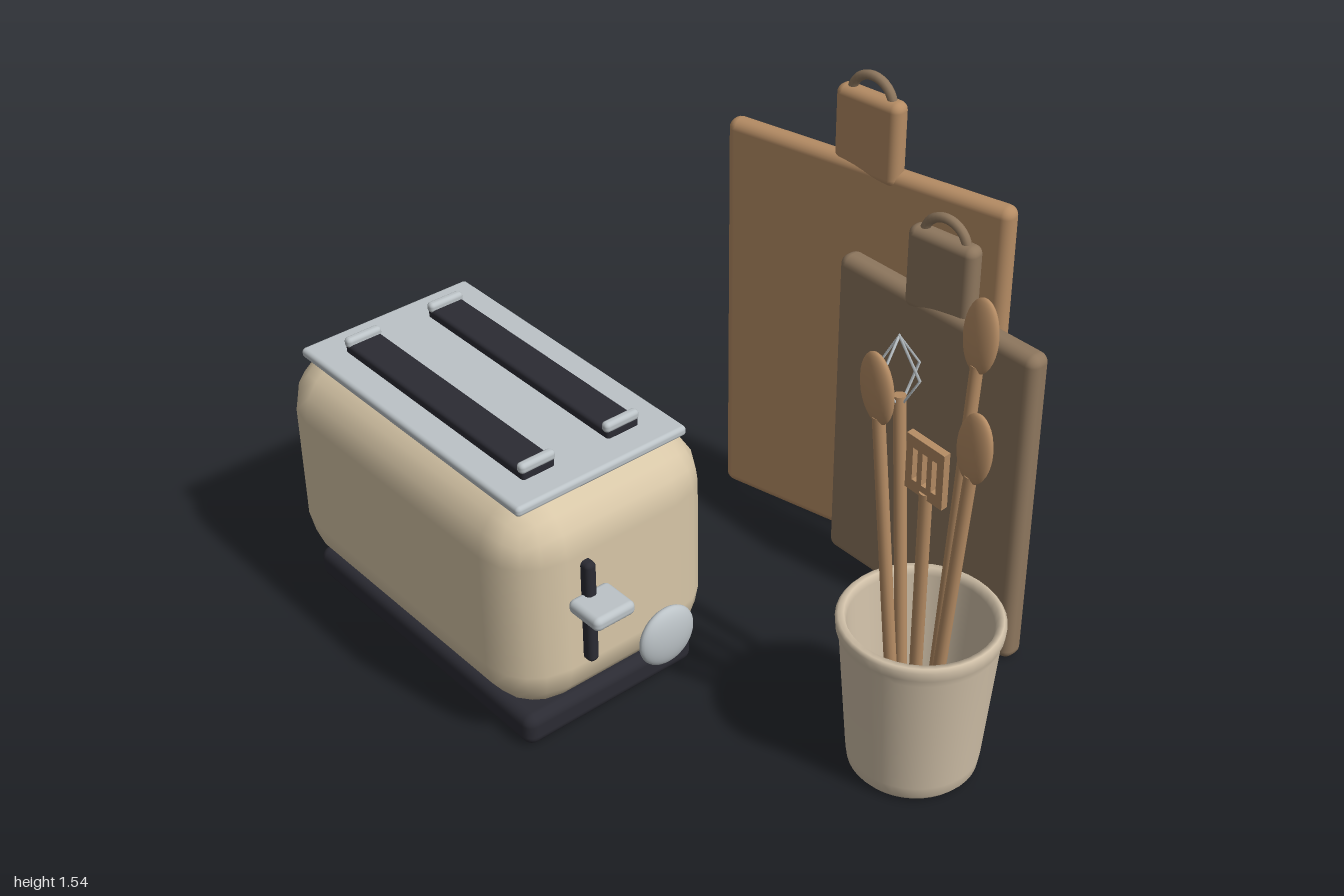
import * as THREE from 'three';
import { RoundedBoxGeometry } from 'three/addons/geometries/RoundedBoxGeometry.js';

const material = (name, color, side = THREE.FrontSide) => {
  const m = new THREE.MeshStandardMaterial({ color, side });
  m.name = name;
  return m;
};

export function createModel() {
  const cream = material('cream enamel', 0xd8c7a8);
  const clay = material('stoneware', 0xd0c0a8, THREE.DoubleSide);
  const dark = material('dark plastic', 0x2b2b33);
  const metal = material('brushed metal', 0xbcc3c7);
  const lightWood = material('light wood', 0xb58c64);
  const darkWood = material('dark wood', 0x8e775e);

  const model = new THREE.Group();
  model.name = 'kitchenSet';

  const group = (name, parent = model) => {
    const g = new THREE.Group();
    g.name = name;
    parent.add(g);
    return g;
  };
  const add = (parent, name, geometry, mat, x = 0, y = 0, z = 0) => {
    const m = new THREE.Mesh(geometry, mat);
    m.name = name;
    m.position.set(x, y, z);
    parent.add(m);
    return m;
  };
  // Rounded box given by its minimum and maximum corners
  const block = (parent, name, mat, [x0, y0, z0], [x1, y1, z1], radius, segments = 3) =>
    add(parent, name, new RoundedBoxGeometry(x1 - x0, y1 - y0, z1 - z0, segments, radius), mat,
      (x0 + x1) / 2, (y0 + y1) / 2, (z0 + z1) / 2);

  // Toaster
  const toaster = group('toaster');
  block(toaster, 'body', cream, [-1, 0.098, 0.075], [0.14, 0.79, 0.77], 0.165, 2);
  block(toaster, 'base', dark, [-0.94, 0, 0.135], [0.085, 0.1, 0.72], 0.032);
  block(toaster, 'topPlate', metal, [-0.93, 0.77, 0.14], [0.07, 0.8, 0.705], 0.012);
  for (const z of [0.285, 0.565]) {
    block(toaster, 'breadSlot', dark, [-0.835, 0.79, z - 0.053], [-0.02, 0.826, z + 0.053], 0.01);
    for (const x of [-0.823, -0.033])
      block(toaster, 'slotEnd', metal, [x - 0.014, 0.815, z - 0.057], [x + 0.014, 0.846, z + 0.057], 0.012);
  }
  block(toaster, 'leverTrack', dark, [0.125, 0.275, 0.533], [0.17, 0.605, 0.567], 0.014);
  block(toaster, 'lever', metal, [0.135, 0.458, 0.478], [0.26, 0.5, 0.612], 0.017);
  add(toaster, 'knob', new THREE.SphereGeometry(0.093, 32, 20), metal, 0.166, 0.23, 0.302)
    .scale.x = 0.34;

  // Cutting boards, each with a slightly twisted grip and a hanging loop
  const cuttingBoard = (name, mat, x, z, width, height, depth, turn) => {
    const board = group(name);
    board.position.set(x, 0, z);
    const panel = add(board, 'panel', new RoundedBoxGeometry(width, height, depth, 3, 0.03), mat, 0, height / 2, 0);
    panel.rotation.y = turn;
    const grip = group('grip', board);
    grip.position.y = height + 0.08;
    grip.rotation.y = 0.12;
    add(grip, 'gripBlock', new RoundedBoxGeometry(0.222, 0.255, 0.062, 3, 0.026), mat);
    add(grip, 'hangingLoop', new THREE.TorusGeometry(0.071, 0.014, 10, 32), darkWood, 0, 0.105, 0);
  };
  cuttingBoard('largeBoard', lightWood, -0.06, -0.638, 0.93, 1.27, 0.066, 0.225);
  cuttingBoard('smallBoard', darkWood, 0.318, -0.552, 0.735, 1.022, 0.074, 0);

  // Utensil pot with a hollow inside
  const potX = 0.777, potZ = -0.046;
  const pot = group('utensilPot');
  const outer = [[0, 0], [0.165, 0], [0.177, 0.015], [0.182, 0.05], [0.212, 0.43], [0.221, 0.455], [0.223, 0.482], [0.215, 0.492]];
  const inner = [[0.2, 0.492], [0.192, 0.47], [0.16, 0.07], [0.15, 0.055], [0, 0.055]];
  add(pot, 'pot', new THREE.LatheGeometry([...outer, ...inner].map(([r, y]) => new THREE.Vector2(r, y)), 40),
    clay, potX, 0, potZ);

  // A leaning utensil: handle from the pot floor up to its head
  const up = new THREE.Vector3(0, 1, 0);
  const utensil = (name, x, y, z, headHalf) => {
    const top = new THREE.Vector3(x, y, z);
    const foot = new THREE.Vector3(potX + (x - potX) * 0.36, 0.06, potZ + (z - potZ) * 0.36);
    const axis = top.clone().sub(foot);
    const length = axis.length();
    const g = group(name);
    g.position.copy(top);
    g.quaternion.setFromUnitVectors(up, axis.normalize());
    const shaft = length - headHalf + 0.02;
    add(g, 'handle', new THREE.CylinderGeometry(0.017, 0.017, shaft, 14), lightWood, 0, shaft / 2 - length, 0);
    return g;
  };

  // Spoons
  for (const [x, y, z] of [[0.785, 1.29, -0.184], [0.672, 1.185, 0.05], [0.912, 1.088, -0.047]]) {
    const spoon = utensil('spoon', x, y, z, 0.1);
    add(spoon, 'spoonBowl', new THREE.SphereGeometry(1, 24, 16), lightWood).scale.set(0.055, 0.105, 0.023);
  }

  // Slotted spatula
  const spatula = utensil('spatula', 0.86, 1.05, 0.06, 0.09);
  const rect = (target, x0, y0, x1, y1) =>
    target.moveTo(x0, y0).lineTo(x1, y0).lineTo(x1, y1).lineTo(x0, y1).closePath();
  const blade = new THREE.Shape();
  rect(blade, -0.062, -0.085, 0.062, 0.085);
  for (const x of [-0.032, 0, 0.032]) {
    const slot = new THREE.Path();
    rect(slot, x - 0.008, -0.05, x + 0.008, 0.05);
    blade.holes.push(slot);
  }
  const bladeGeometry = new THREE.ExtrudeGeometry(blade, { depth: 0.02, bevelEnabled: false });
  bladeGeometry.translate(0, 0, -0.01);
  add(spatula, 'spatulaBlade', bladeGeometry, lightWood);

  // Whisk with two crossed diamond wires
  const whisk = utensil('whisk', 0.63, 1.16, -0.07, 0.085);
  for (const turn of [0, Math.PI / 2]) {
    const loop = add(whisk, 'whiskWire', new THREE.TorusGeometry(0.07, 0.004, 6, 4), metal);
    loop.scale.y = 1.45;
    loop.rotation.y = turn;
  }

  return model;
}
